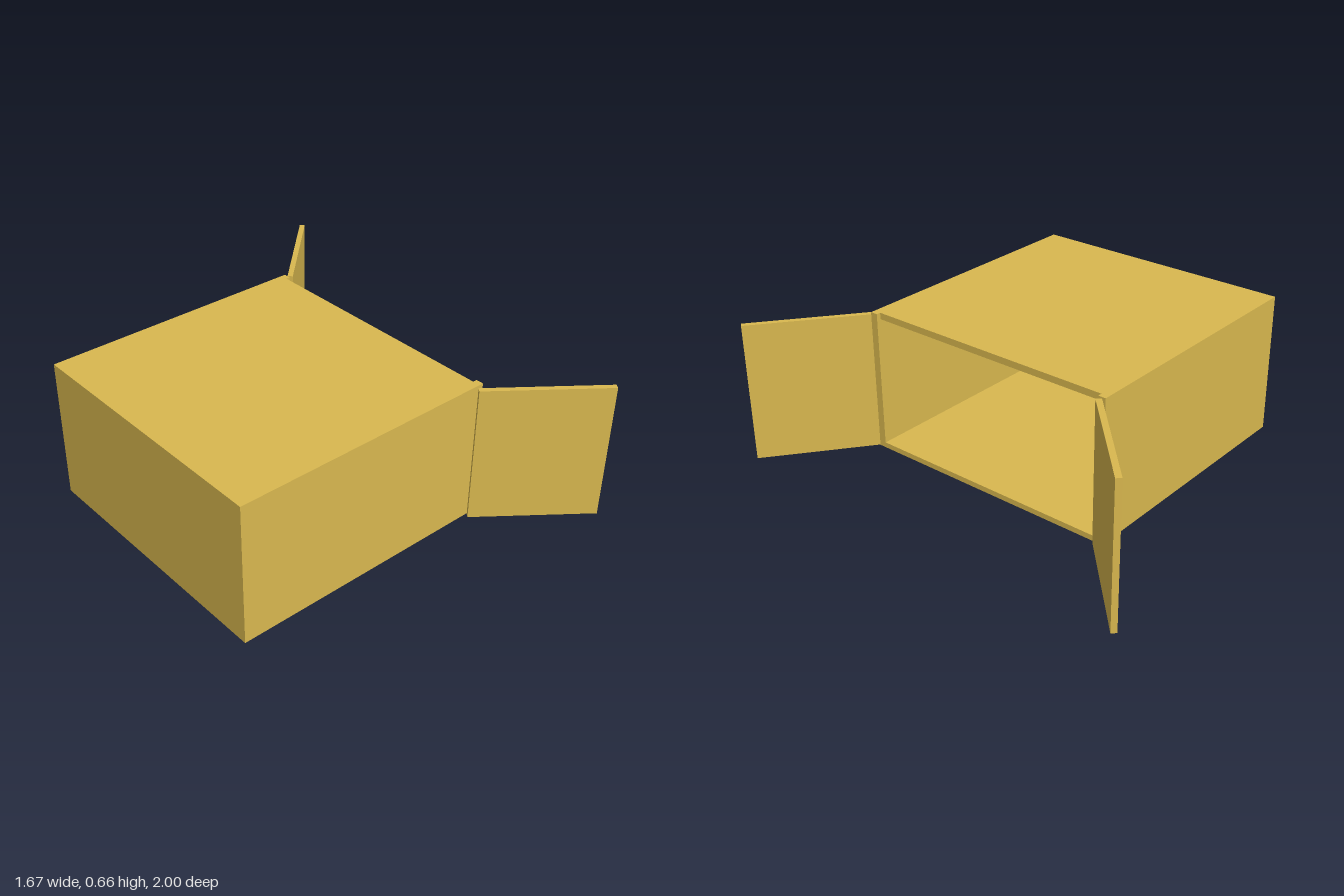
import * as THREE from 'three';

export function createModel() {
  const model = new THREE.Group();
  const ochre = new THREE.MeshStandardMaterial({ color: 0xd9b84f });
  ochre.name = 'ochre';

  // Box panel given by its lower and upper corners
  function panel(name, [x0, y0, z0], [x1, y1, z1]) {
    const mesh = new THREE.Mesh(new THREE.BoxGeometry(x1 - x0, y1 - y0, z1 - z0), ochre);
    mesh.position.set((x0 + x1) / 2, (y0 + y1) / 2, (z0 + z1) / 2);
    mesh.name = name;
    model.add(mesh);
  }

  // Upright door panel swung from a hinge point to a free end, both as [x, z]
  function door(name, [hx, hz], [ex, ez], y0, y1) {
    const dx = ex - hx, dz = ez - hz;
    const mesh = new THREE.Mesh(new THREE.BoxGeometry(Math.hypot(dx, dz), y1 - y0, 0.025), ochre);
    mesh.position.set((hx + ex) / 2, (y0 + y1) / 2, (hz + ez) / 2);
    mesh.rotation.y = -Math.atan2(dz, dx);
    mesh.name = name;
    model.add(mesh);
  }

  // Shell, open at the +x end; the roof stops just short of the other panels
  panel('floor', [-0.84, 0.005, -0.62], [0.405, 0.03, 0.635]);
  panel('roof', [-0.815, 0.63, -0.585], [0.385, 0.66, 0.6]);
  panel('frontWall', [-0.84, 0.03, 0.6], [0.405, 0.66, 0.635]);
  panel('backWall', [-0.84, 0.03, -0.62], [0.405, 0.66, -0.585]);
  panel('endWall', [-0.84, 0.03, -0.585], [-0.815, 0.66, 0.6]);

  // Doors standing open
  door('frontDoor', [0.375, 0.642], [0.822, 0.988], 0, 0.645);
  door('backDoor', [0.418, -0.597], [0.826, -0.989], 0.015, 0.657);

  return model;
}
